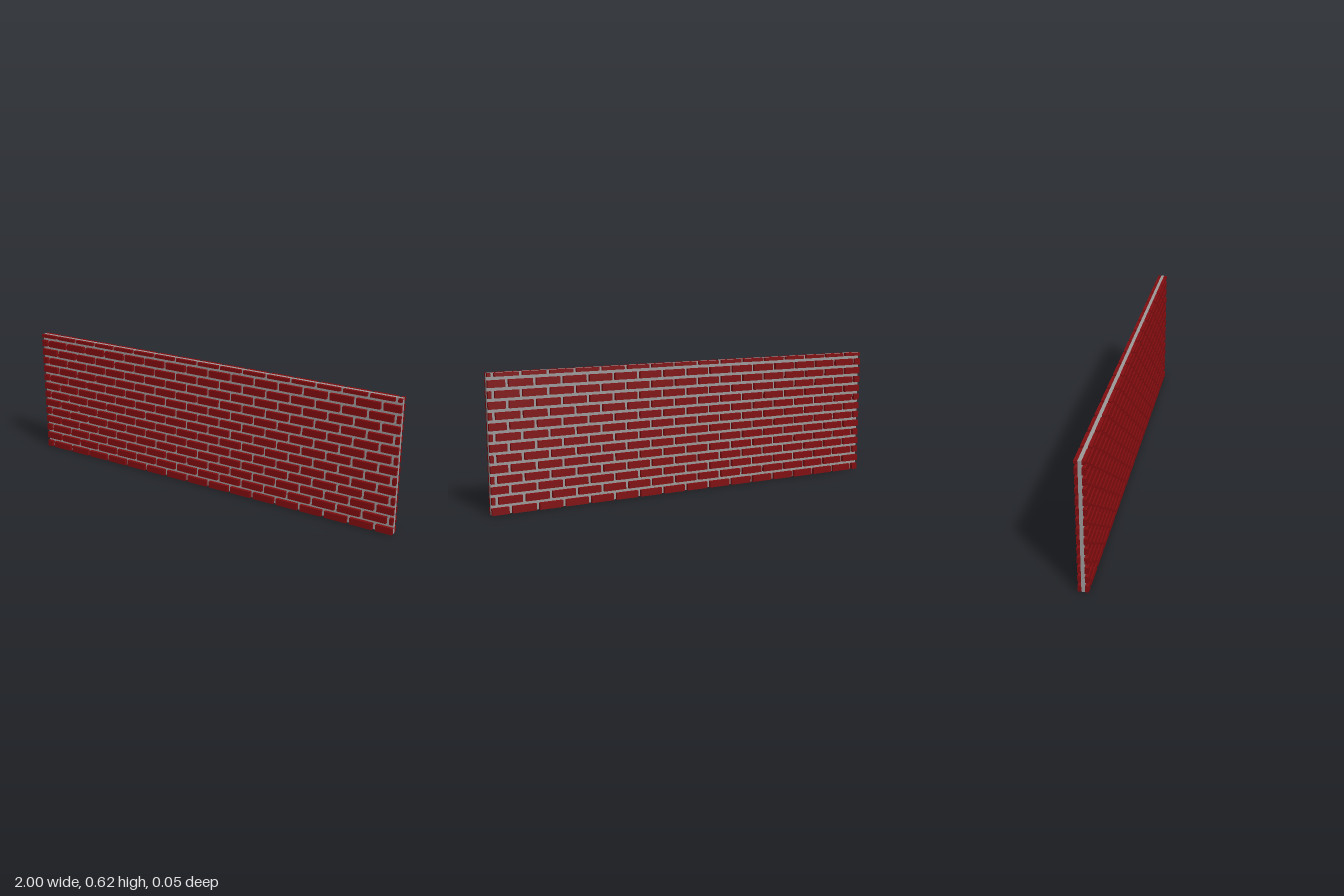
import * as THREE from 'three';
import { mergeGeometries } from 'three/addons/utils/BufferGeometryUtils.js';

// The wall sits on a regular grid: a brick is 7 x 2 x 1 units, a joint is 1 unit.
const U = 1 / 64;
const HALF = 64, HEIGHT = 40;
const COURSE = 3, PITCH = 8;

const brickRed = new THREE.MeshStandardMaterial({ color: 0x7f0c0f });
brickRed.name = 'brick red';
const mortarGrey = new THREE.MeshStandardMaterial({ color: 0x9a9797 });
mortarGrey.name = 'mortar grey';

// Box between two corners given in grid units
function block(x0, x1, y0, y1, z0, z1) {
  return new THREE.BoxGeometry((x1 - x0) * U, (y1 - y0) * U, (z1 - z0) * U)
    .translate((x0 + x1) / 2 * U, (y0 + y1) / 2 * U, (z0 + z1) / 2 * U);
}

// One course of running bond, cut off at both ends of the wall
function course(row, z0, z1) {
  const y0 = row * COURSE;
  const y1 = Math.min(y0 + 2, HEIGHT);
  const firstJoint = row % 2 ? -58 : -62;
  const bricks = [];
  for (let x = firstJoint + 1 - PITCH; x < HALF; x += PITCH) {
    const x0 = Math.max(x, -HALF), x1 = Math.min(x + PITCH - 1, HALF);
    if (x1 > x0) bricks.push(block(x0, x1, y0, y1, z0, z1));
  }
  return mergeGeometries(bricks);
}

export function createModel() {
  const wall = new THREE.Group();
  wall.name = 'brickWall';

  // Mortar core
  const core = new THREE.Mesh(block(-HALF, HALF, 0, HEIGHT, -0.5, 0.5), mortarGrey);
  core.name = 'mortarCore';
  wall.add(core);

  // Raised bricks on both faces
  for (const [name, z0, z1] of [['front', 0.5, 1.5], ['back', -1.5, -0.5]]) {
    const face = new THREE.Group();
    face.name = name + 'Bricks';
    for (let row = 0; row * COURSE < HEIGHT; row++) {
      const mesh = new THREE.Mesh(course(row, z0, z1), brickRed);
      mesh.name = name + 'Course' + (row + 1);
      face.add(mesh);
    }
    wall.add(face);
  }
  return wall;
}
